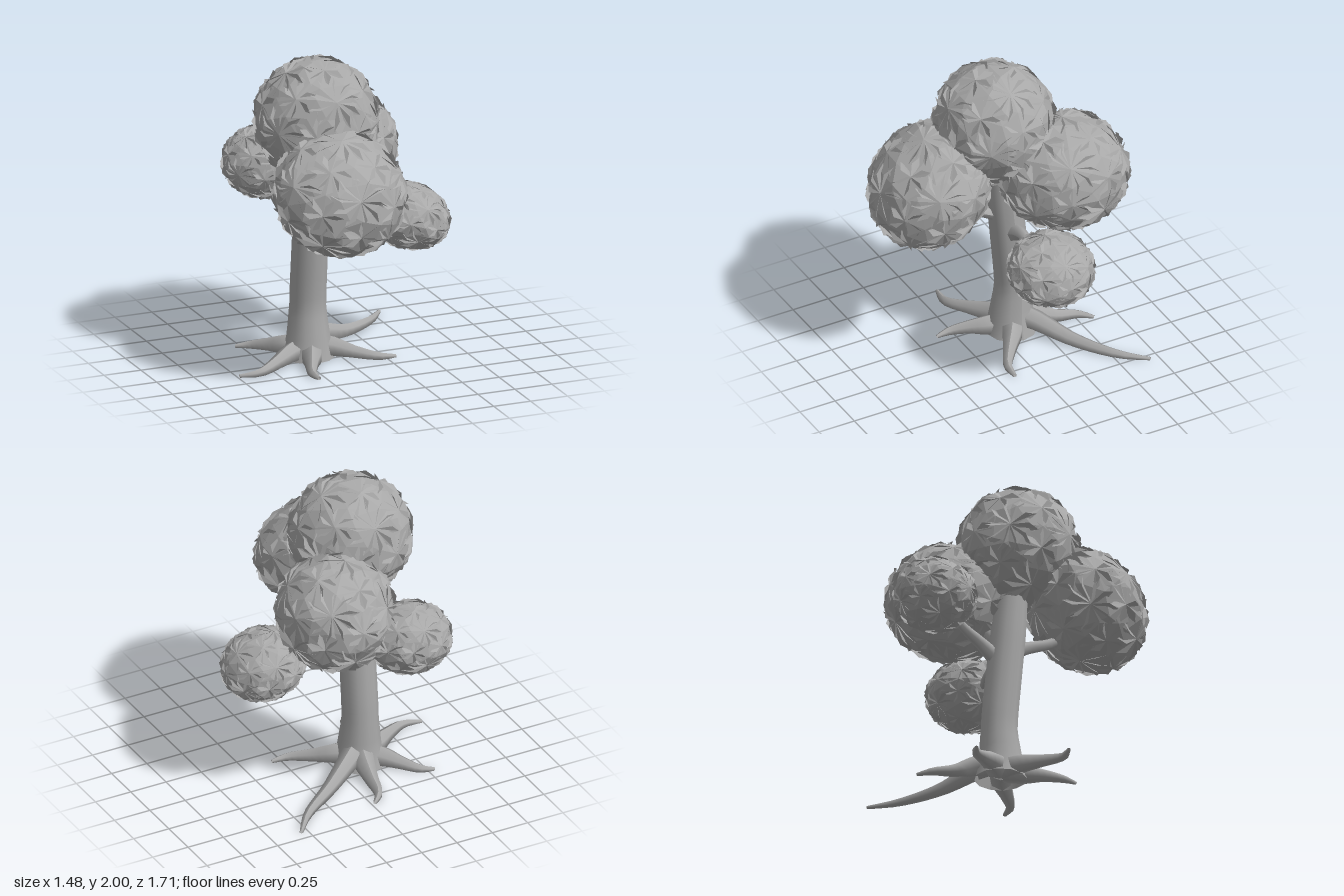
import * as THREE from 'three';
import { ConvexGeometry } from 'three/addons/geometries/ConvexGeometry.js';

const bark = new THREE.MeshStandardMaterial({ color: 0xa8a8a8, side: THREE.DoubleSide });
const leaf = new THREE.MeshStandardMaterial({ color: 0xa8a8a8, flatShading: true, side: THREE.DoubleSide });

// Tapered tube along a smooth path; each point is [x, y, z, radius]. Never dips below the ground.
function limb(name, pts, sides = 7, segs = 12) {
  const curve = new THREE.CatmullRomCurve3(pts.map(p => new THREE.Vector3(p[0], p[1], p[2])));
  const geo = new THREE.TubeGeometry(curve, segs, 1, sides, false);
  const pos = geo.attributes.position;
  const v = new THREE.Vector3();
  for (let i = 0; i <= segs; i++) {
    const centre = curve.getPointAt(i / segs);
    const t = curve.getUtoTmapping(i / segs) * (pts.length - 1);
    const k = Math.min(Math.floor(t), pts.length - 2);
    const r = THREE.MathUtils.lerp(pts[k][3], pts[k + 1][3], t - k);
    for (let j = 0; j <= sides; j++) {
      const n = i * (sides + 1) + j;
      v.fromBufferAttribute(pos, n).sub(centre).multiplyScalar(r).add(centre);
      pos.setXYZ(n, v.x, Math.max(0, v.y), v.z);
    }
  }
  geo.computeVertexNormals();
  const mesh = new THREE.Mesh(geo, bark);
  mesh.name = name;
  return mesh;
}

// Distinct corners of a solid
function corners(geo) {
  const found = new Map();
  const p = geo.attributes.position;
  for (let i = 0; i < p.count; i++) {
    const v = new THREE.Vector3().fromBufferAttribute(p, i);
    found.set(v.toArray().map(c => Math.round(c * 1000) + 0).join(), v);
  }
  return [...found.values()];
}

// Push the corners of a ball slightly in and out by a fixed rule
function roughen(geo, amount) {
  const pos = geo.attributes.position;
  const v = new THREE.Vector3();
  for (let i = 0; i < pos.count; i++) {
    v.fromBufferAttribute(pos, i);
    const wave = Math.sin(Math.round(v.x * 100) * 1.7 + Math.round(v.y * 100) * 2.3 + Math.round(v.z * 100) * 3.1);
    v.multiplyScalar(1 + amount * wave);
    pos.setXYZ(i, v.x, v.y, v.z);
  }
  geo.computeVertexNormals();
  return geo;
}

// Stars of twisted, kite-shaped leaves lying on a unit ball, one star per direction
function leafStars(directions, petals, length, width, twist) {
  const verts = [];
  for (const dir of directions) {
    const side = new THREE.Vector3(0.31, 0.87, 0.38).cross(dir).normalize();
    const up = dir.clone().cross(side);
    const point = (angle, across, radius) => dir.clone()
      .addScaledVector(side, Math.cos(angle) * across)
      .addScaledVector(up, Math.sin(angle) * across)
      .setLength(radius);
    for (let i = 0; i < petals; i++) {
      const a = i / petals * Math.PI * 2;
      const root = point(a, 0, 1.0), tip = point(a, length, 1.01);
      const high = point(a + width, length * 0.6, 1 + twist), low = point(a - width, length * 0.6, 1 - twist);
      for (const v of [root, low, tip, root, tip, high]) verts.push(v.x, v.y, v.z);
    }
  }
  const geo = new THREE.BufferGeometry();
  geo.setAttribute('position', new THREE.Float32BufferAttribute(verts, 3));
  geo.computeVertexNormals();
  return geo;
}

// Two interlocking faceted balls covered with large and small leaf stars
function leafShells() {
  const twelve = corners(new THREE.IcosahedronGeometry(1));
  const twenty = corners(new THREE.DodecahedronGeometry(1).rotateY(Math.PI / 2));
  const hull = new ConvexGeometry([...twelve, ...twenty]).attributes.position;
  const index = Array.from({ length: hull.count }, (_, i) => i);
  return [
    roughen(new THREE.IcosahedronGeometry(1, 2), 0.025),
    roughen(new THREE.PolyhedronGeometry(Array.from(hull.array), index, 1, 1), 0.028),
    leafStars(twelve, 10, 0.52, 0.2, 0.045),
    leafStars(twenty, 6, 0.34, 0.3, 0.045),
  ];
}

export function createModel() {
  const tree = new THREE.Group();
  tree.name = 'tree';

  // Trunk, leaning gently and flaring at the foot
  tree.add(limb('trunk', [
    [-0.18, 0, -0.1, 0.165], [-0.18, 0.12, -0.1, 0.14], [-0.18, 0.33, -0.11, 0.116],
    [-0.18, 0.7, -0.08, 0.115], [-0.18, 1.0, -0.05, 0.113], [-0.18, 1.35, -0.02, 0.1],
  ], 12, 20));

  // Roots: tip position, sideways bend and height where they leave the trunk
  const roots = [
    [-0.74, 0.12, -0.06, 0.06], [0.55, -0.69, 0.04, 0.12], [-0.54, -0.42, 0.03, 0.06],
    [-0.02, -0.6, -0.04, 0.1], [-0.3, 0.36, 0.03, 0.05], [0.31, 0.14, 0.04, 0.07],
  ];
  for (const [x, z, bend, h] of roots) {
    const dx = x + 0.18, dz = z + 0.1, len = Math.hypot(dx, dz);
    const at = (d, y, r, b) => [-0.18 + dx * d / len - dz * b / len, y, -0.1 + dz * d / len + dx * b / len, r];
    tree.add(limb('root', [
      at(0.02, h, 0.08, 0), at(0.15, h * 0.85, 0.07, 0), at(0.15 + (len - 0.15) * 0.35, 0.035, 0.046, bend * 0.6),
      at(0.15 + (len - 0.15) * 0.75, 0.015, 0.028, bend), at(len, 0.008, 0.012, 0),
    ], 6));
  }

  // Branches reaching into the leaf clumps
  tree.add(limb('sideBranch', [[-0.16, 0.73, -0.08, 0.07], [-0.05, 0.81, -0.07, 0.05], [0.1, 0.86, -0.05, 0.032], [0.32, 0.81, -0.03, 0.025]]));
  tree.add(limb('frontBranch', [[-0.18, 0.86, -0.08, 0.06], [-0.19, 0.93, 0.08, 0.04], [-0.2, 0.99, 0.24, 0.032], [-0.2, 1.13, 0.4, 0.022]]));
  tree.add(limb('backBranch', [[-0.18, 0.8, -0.1, 0.06], [-0.2, 0.9, -0.24, 0.04], [-0.23, 0.98, -0.38, 0.03], [-0.26, 1.12, -0.52, 0.02]]));
  tree.add(limb('upperBranch', [[-0.18, 0.9, -0.06, 0.07], [-0.06, 1.05, -0.14, 0.05], [0.1, 1.25, -0.28, 0.03]]));

  // Leaf clumps: centre, radii and tilt
  const shells = leafShells();
  const clumps = [
    ['topLeaves', [-0.18, 1.6, 0.02], [0.39, 0.385, 0.38], [0, 0, 0]],
    ['frontLeaves', [-0.21, 1.25, 0.465], [0.42, 0.41, 0.33], [-0.8, 0, 0]],
    ['backRightLeaves', [0.105, 1.295, -0.315], [0.375, 0.365, 0.41], [0, -0.35, -0.4]],
    ['backLeftLeaves', [-0.27, 1.14, -0.585], [0.27, 0.225, 0.26], [0.15, 0, 0]],
    ['sideLeaves', [0.465, 0.86, -0.03], [0.265, 0.205, 0.275], [0, 0, -0.3]],
  ];
  for (const [name, centre, radii, tilt] of clumps) {
    const clump = new THREE.Group();
    clump.name = name;
    for (const shell of shells) {
      const mesh = new THREE.Mesh(shell, leaf);
      mesh.name = 'leafShell';
      clump.add(mesh);
    }
    clump.position.set(...centre);
    clump.scale.set(...radii);
    clump.rotation.set(...tilt);
    tree.add(clump);
  }
  return tree;
}
